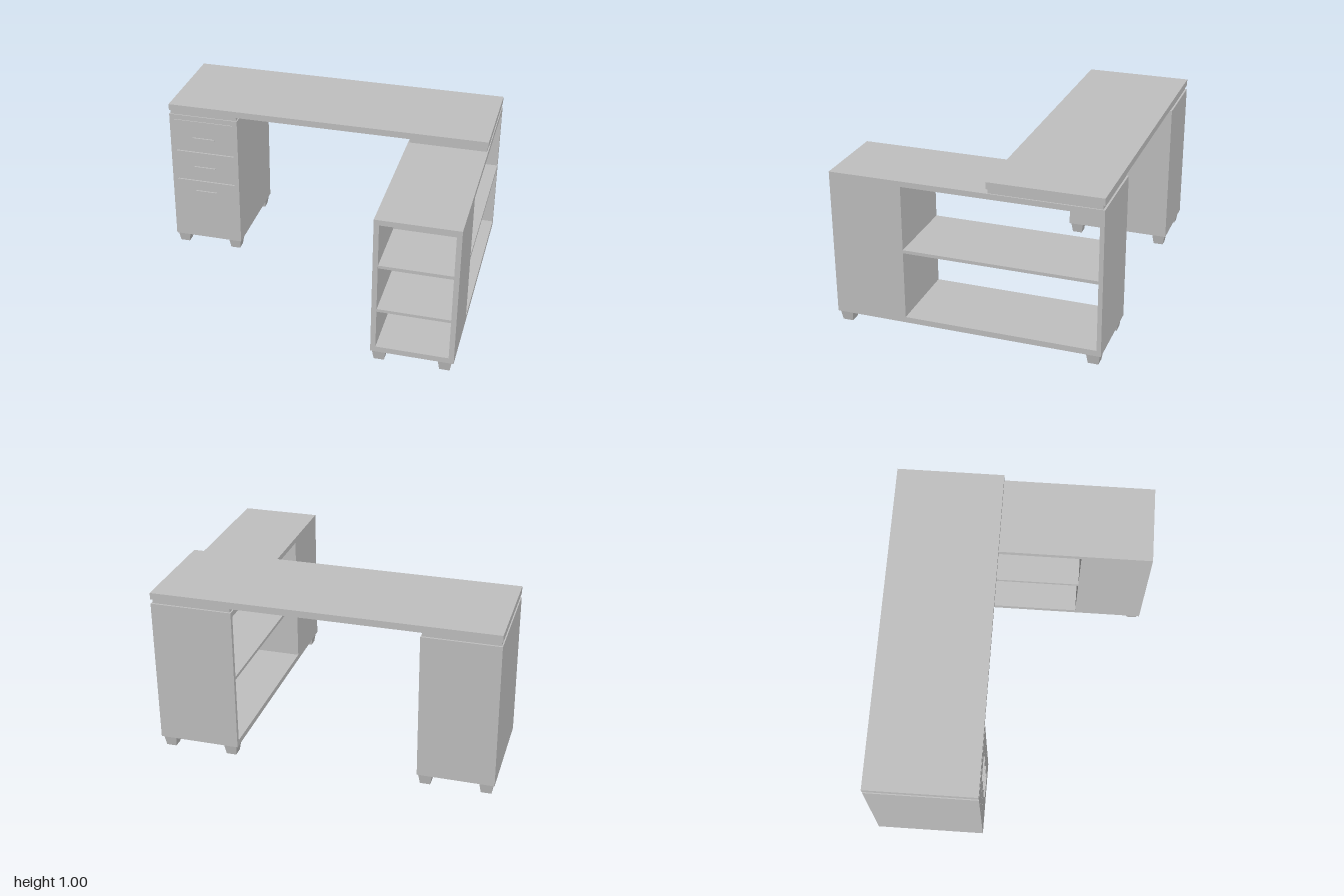
import * as THREE from 'three';

export function createModel() {
  const model = new THREE.Group();
  model.name = 'cornerDesk';
  const grey = new THREE.MeshStandardMaterial({ color: 0xc0c0c0 });
  grey.name = 'light grey';

  // Box given by its extents along each axis
  const board = (name, parent, [x0, x1], [y0, y1], [z0, z1]) => {
    const mesh = new THREE.Mesh(new THREE.BoxGeometry(x1 - x0, y1 - y0, z1 - z0), grey);
    mesh.position.set((x0 + x1) / 2, (y0 + y1) / 2, (z0 + z1) / 2);
    mesh.name = name;
    parent.add(mesh);
  };

  // Tapered square feet
  const footGeometry = new THREE.CylinderGeometry(0.04 * Math.SQRT2, 0.03 * Math.SQRT2, 0.064, 4)
    .rotateY(Math.PI / 4).toNonIndexed();
  footGeometry.computeVertexNormals();
  const addFeet = (parent, xs, zs) => {
    for (const x of xs) for (const z of zs) {
      const foot = new THREE.Mesh(footGeometry, grey);
      foot.position.set(x, 0.032, z);
      foot.name = 'foot';
      parent.add(foot);
    }
  };

  const base = [0.064, 0.098], lid = [0.902, 0.934], inner = [0.098, 0.902];
  const back = -0.785, front = 0.785, deskFront = -0.135, t = 0.03;

  // Desk top on two recessed risers
  board('deskTop', model, [-1, 1], [0.96, 1], [back, deskFront]);
  board('drawerRiser', model, [-0.993, -0.563], [0.934, 0.96], [-0.774, -0.142]);
  board('shelfRiser', model, [0.528, 0.992], [0.934, 0.96], [-0.774, -0.142]);

  // Drawer cabinet
  const cabinet = new THREE.Group();
  cabinet.name = 'drawerCabinet';
  model.add(cabinet);
  const c0 = -1, c1 = -0.556, depth = [back, deskFront];
  board('cabinetBase', cabinet, [c0, c1], base, depth);
  board('cabinetLid', cabinet, [c0, c1], lid, depth);
  board('cabinetSide', cabinet, [c0, c0 + t], inner, depth);
  board('cabinetSide', cabinet, [c1 - t, c1], inner, depth);
  board('cabinetBack', cabinet, [c0 + t, c1 - t], inner, [back, back + 0.025]);
  for (const [y0, y1, grip] of [[0.098, 0.476, 0.405], [0.482, 0.681, 0.58], [0.687, 0.899, 0.785]]) {
    board('drawer', cabinet, [c0 + t, c1 - t], [y0, y1], [back + 0.03, deskFront]);
    board('drawerHandle', cabinet, [-0.85, -0.706], [grip - 0.003, grip + 0.003], [deskFront, -0.126]);
  }
  addFeet(cabinet, [-0.952, -0.602], [-0.737, -0.185]);

  // Long shelf unit, open on both sides behind the front bookcase
  const unit = new THREE.Group();
  unit.name = 'shelfUnit';
  model.add(unit);
  const u0 = 0.52, u1 = 1, divider = 0.36;
  board('unitBase', unit, [u0, u1], base, [back, front]);
  board('unitTop', unit, [u0, u1], lid, [back, front]);
  board('unitBack', unit, [u0, u1], inner, [back, back + 0.025]);
  board('longShelf', unit, [u0, u1], [0.502, 0.521], [back + 0.025, divider]);

  // Front bookcase
  board('bookcaseSide', unit, [u0, u0 + t], inner, [divider, front]);
  board('bookcaseSide', unit, [u1 - t, u1], inner, [divider, front]);
  board('bookcaseBack', unit, [u0 + t, u1 - t], inner, [divider, divider + 0.02]);
  for (const y of [0.336, 0.625])
    board('bookcaseShelf', unit, [u0 + t, u1 - t], [y, y + 0.018], [divider + 0.02, front - 0.005]);
  addFeet(unit, [0.568, 0.948], [-0.737, 0.737]);

  return model;
}
